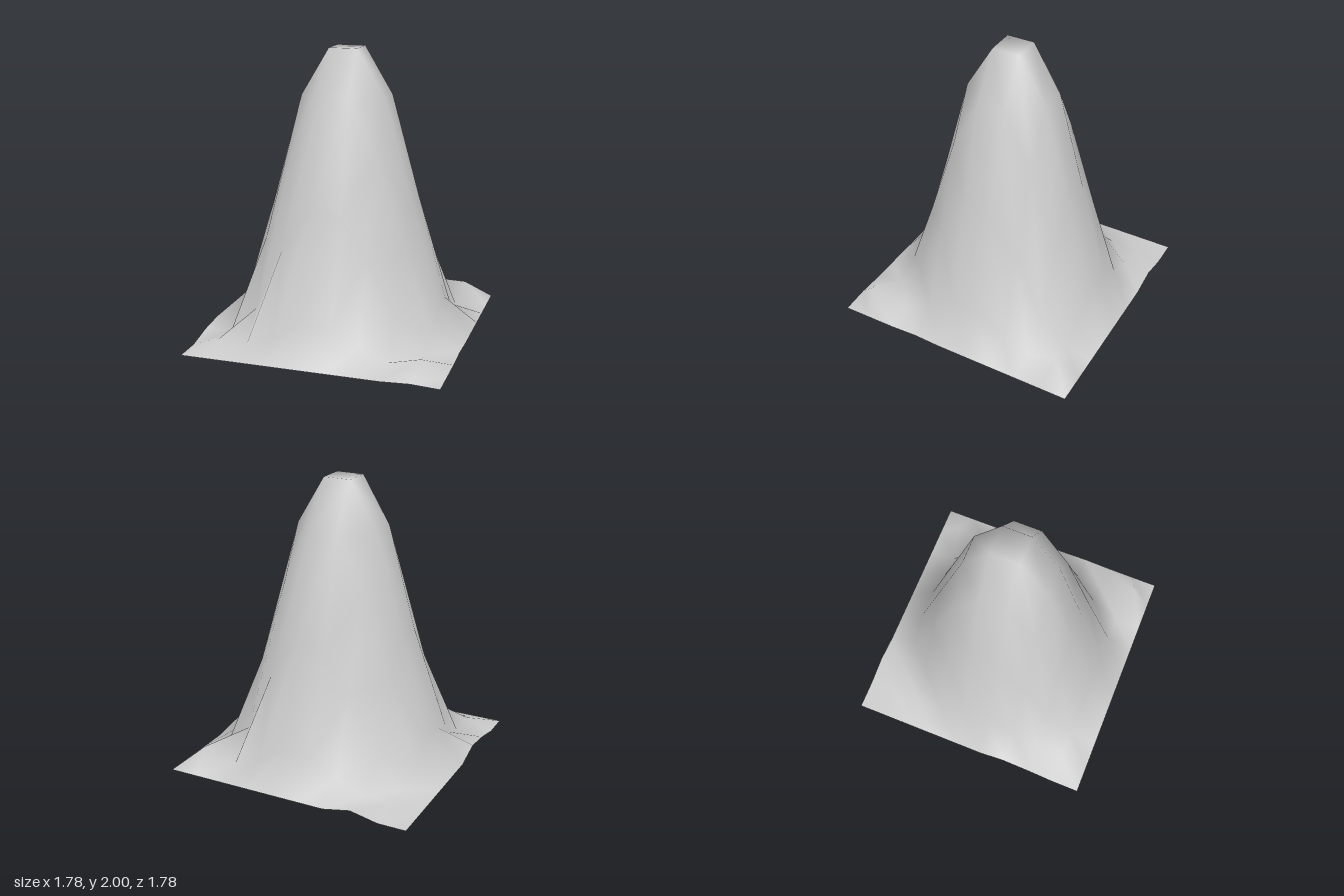
import * as THREE from 'three';

const SIZE = 1.78, CELLS = 9;

// height of the mound against distance from its axis
const PROFILE = [[0.14, 2], [0.314, 1.67], [0.42, 1.3], [0.505, 0.96], [0.58, 0.68],
  [0.7, 0.24], [0.76, 0.11], [0.86, 0.04], [0.94, 0.01]];

// small irregular lumps in the skirt: column, row, height, sideways shift in x and z
const LUMPS = [
  [8, 8, 0.13, 0.04, 0.07], [8, 1, 0.15, 0.02, -0.04], [1, 8, 0.07, 0, 0], [1, 1, 0.03, 0, 0],
  [0, 6, 0.06, 0, 0], [0, 7, 0.04, 0, 0], [2, 0, 0.04, 0, 0], [9, 6, 0.01, 0, 0], [8, 9, 0.01, 0, 0],
];

function heightAt(r) {
  if (r <= PROFILE[0][0]) return PROFILE[0][1];
  for (let i = 1; i < PROFILE.length; i++) {
    const [r0, h0] = PROFILE[i - 1], [r1, h1] = PROFILE[i];
    if (r <= r1) return THREE.MathUtils.mapLinear(r, r0, r1, h0, h1);
  }
  return 0.01;
}

export function createModel() {
  const group = new THREE.Group();
  group.name = 'mountain';

  // coarse grid lifted into a steep peak, with a flat border
  const geometry = new THREE.PlaneGeometry(SIZE, SIZE, CELLS, CELLS).rotateX(-Math.PI / 2);
  const pos = geometry.attributes.position;
  for (let i = 0; i < pos.count; i++) {
    const x = pos.getX(i), z = pos.getZ(i);
    const border = Math.max(Math.abs(x), Math.abs(z)) > SIZE / 2 - 0.01;
    pos.setY(i, border ? 0 : heightAt(Math.hypot(x, z)));
  }

  // uneven ground around the foot
  for (const [col, row, y, dx, dz] of LUMPS) {
    const i = row * (CELLS + 1) + col;
    pos.setXYZ(i, pos.getX(i) + dx, y, pos.getZ(i) + dz);
  }
  geometry.computeVertexNormals();

  const material = new THREE.MeshStandardMaterial({ color: 0xcccccc, side: THREE.DoubleSide });
  const terrain = new THREE.Mesh(geometry, material);
  terrain.name = 'terrain';
  group.add(terrain);
  return group;
}
